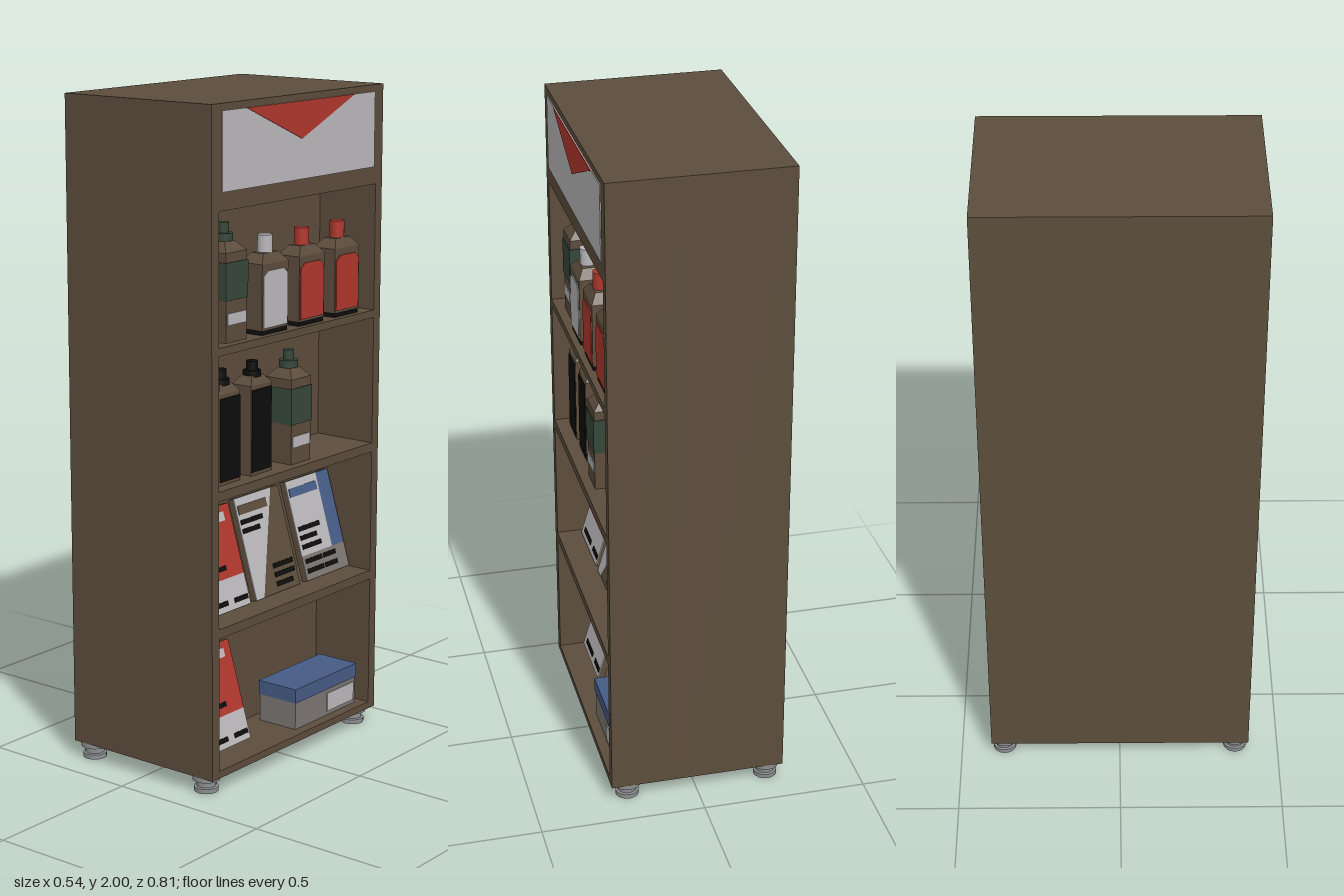
import * as THREE from 'three';

const mat = (name, color, double) => {
  const m = new THREE.MeshStandardMaterial({ color });
  m.name = name;
  if (double) m.side = THREE.DoubleSide;
  return m;
};

export function createModel() {
  const brown = mat('brown', 0x5c4d3c), red = mat('red', 0xb0372d), white = mat('white', 0xbab8ba);
  const black = mat('black', 0x0e0d0c), green = mat('green', 0x35473a), blue = mat('blue', 0x465b85);
  const grey = mat('grey', 0x7c7672), metal = mat('metal', 0x8c8e90);

  const model = new THREE.Group();
  model.name = 'displayCabinet';
  // Everything is built facing local +z, then turned so the open side faces +x
  const cabinet = new THREE.Group();
  cabinet.name = 'cabinet';
  cabinet.rotation.y = Math.PI / 2;
  model.add(cabinet);

  const add = (parent, name, geo, material, x = 0, y = 0, z = 0) => {
    const m = new THREE.Mesh(geo, material);
    m.name = name;
    m.position.set(x, y, z);
    parent.add(m);
    return m;
  };
  const group = (name, x, y, z) => {
    const g = new THREE.Group();
    g.name = name;
    g.position.set(x, y, z);
    cabinet.add(g);
    return g;
  };
  // Box given by its limits
  const box = (parent, name, material, x0, x1, y0, y1, z0, z1) =>
    add(parent, name, new THREE.BoxGeometry(x1 - x0, y1 - y0, z1 - z0), material,
      (x0 + x1) / 2, (y0 + y1) / 2, (z0 + z1) / 2);
  // Four-sided tapering block standing on y0
  const taper = (parent, name, material, w0, d0, w1, y0, y1) => {
    let g = new THREE.CylinderGeometry(w1 / w0 * Math.SQRT1_2, Math.SQRT1_2, y1 - y0, 4);
    g.rotateY(Math.PI / 4).scale(w0, 1, d0);
    g = g.toNonIndexed();
    g.computeVertexNormals();
    return add(parent, name, g, material, 0, (y0 + y1) / 2, 0);
  };
  const cyl = (parent, name, material, r, y0, y1, n = 16) =>
    add(parent, name, new THREE.CylinderGeometry(r, r, y1 - y0, n), material, 0, (y0 + y1) / 2, 0);
  // Thin plate cut from a polygon
  const plate = (parent, name, material, pts, z, depth) =>
    add(parent, name, new THREE.ExtrudeGeometry(
      new THREE.Shape(pts.map(p => new THREE.Vector2(...p))), { depth, bevelEnabled: false }), material, 0, 0, z);

  // Cabinet: solid rear and a front frame with four compartments
  const FRONT = 0.265, BACK = 0.06;
  const rect = (P, x0, x1, y0, y1) => {
    const s = new P();
    s.moveTo(x0, y0); s.lineTo(x1, y0); s.lineTo(x1, y1); s.lineTo(x0, y1); s.closePath();
    return s;
  };
  const frame = rect(THREE.Shape, -0.405, 0.405, 0.05, 2);
  for (const [y0, y1] of [[0.072, 0.475], [0.503, 0.882], [0.91, 1.3], [1.323, 1.705]])
    frame.holes.push(rect(THREE.Path, -0.373, 0.373, y0, y1));
  add(cabinet, 'shelfFrame', new THREE.ExtrudeGeometry(frame, { depth: FRONT - BACK, bevelEnabled: false }), brown, 0, 0, BACK);
  box(cabinet, 'cabinetRear', brown, -0.405, 0.405, 0.05, 2, -0.27, BACK);

  // Header sign
  box(cabinet, 'headerPanel', white, -0.36, 0.36, 1.757, 1.98, FRONT, FRONT + 0.003);
  plate(cabinet, 'headerTriangle', red, [[-0.255, 1.98], [0, 1.873], [0.255, 1.98]], FRONT + 0.003, 0.002);

  // Feet
  const footProfile = [[0, 0], [0.036, 0], [0.036, 0.014], [0.029, 0.016], [0.029, 0.033], [0.041, 0.035], [0.041, 0.05], [0, 0.05]]
    .map(p => new THREE.Vector2(...p));
  for (const x of [-0.365, 0.365]) for (const z of [-0.225, 0.21]) {
    const g = new THREE.LatheGeometry(footProfile, 16).toNonIndexed();
    g.computeVertexNormals();
    add(cabinet, 'foot', g, metal, x, 0, z);
  }

  // Square bottle with a green wrap label
  const greenBottle = (x, y) => {
    const g = group('greenBottle', x, y, 0.19);
    taper(g, 'bottleBody', brown, 0.094, 0.094, 0.094, 0, 0.255);
    taper(g, 'bottleShoulder', brown, 0.094, 0.094, 0.045, 0.255, 0.283);
    taper(g, 'wrapLabel', green, 0.1, 0.1, 0.1, 0.12, 0.228);
    box(g, 'smallLabel', white, -0.042, 0.042, 0.05, 0.084, 0.047, 0.05);
    cyl(g, 'capCollar', green, 0.028, 0.283, 0.305);
    cyl(g, 'cap', green, 0.016, 0.305, 0.335);
  };
  greenBottle(-0.26, 1.323);
  greenBottle(0.047, 0.91);

  // Slim bottle with a tall black label
  const blackBottle = x => {
    const g = group('blackBottle', x, 0.91, 0.19);
    taper(g, 'bottleBody', brown, 0.096, 0.07, 0.096, 0, 0.265);
    taper(g, 'bottleShoulder', brown, 0.096, 0.07, 0.05, 0.265, 0.29);
    box(g, 'tallLabel', black, -0.045, 0.045, 0.01, 0.253, 0.035, 0.038);
    cyl(g, 'capCollar', black, 0.027, 0.285, 0.303);
    cyl(g, 'cap', black, 0.018, 0.303, 0.33);
  };
  blackBottle(-0.275);
  blackBottle(-0.128);

  // Broad bottle with a coloured cap and label
  const broadBottle = (x, color) => {
    const g = group('broadBottle', x, 1.323, 0.21);
    taper(g, 'bottleBase', black, 0.118, 0.072, 0.118, 0, 0.014);
    taper(g, 'bottleBody', brown, 0.122, 0.076, 0.122, 0.014, 0.205);
    taper(g, 'bottleShoulder', brown, 0.122, 0.076, 0.07, 0.205, 0.232);
    plate(g, 'frontLabel', color, [[-0.056, 0.02], [0.056, 0.02], [0.056, 0.17], [0.035, 0.185], [-0.035, 0.185], [-0.056, 0.17]], 0.038, 0.003);
    cyl(g, 'cap', color, 0.022, 0.232, 0.282);
  };
  broadBottle(-0.095, white);
  broadBottle(0.08, red);
  broadBottle(0.255, red);

  // Booklets leaning back; printed marks are thin plates
  const LEAN = 0.29;
  const booklet = (name, x, y, h) => {
    const g = group(name, x, y + 0.005, 0.19);
    g.rotation.x = -LEAN;
    g.scale.y = 1 / Math.cos(LEAN);
    box(g, 'bookletBody', brown, 0, 0.217, 0, h, -0.02, 0);
    return g;
  };
  const panel = (g, name, m, x0, x1, y0, y1) => box(g, name, m, x0, x1, y0, y1, 0, 0.002);
  const lines = (g, list) => list.forEach(([x0, x1, y]) =>
    box(g, 'printedLine', black, x0, x1, y - 0.007, y + 0.007, 0.002, 0.004));
  const bar = (g, m, x0, x1) => box(g, 'titleBar', m, x0, x1, 0.248, 0.274, 0.002, 0.004);

  for (const y of [0.503, 0.082]) {
    const g = booklet('redBooklet', -0.349, y, 0.293);
    panel(g, 'upperPage', red, 0, 0.217, 0.09, 0.293);
    panel(g, 'lowerPage', white, 0, 0.217, 0, 0.09);
    bar(g, white, 0.047, 0.185);
    lines(g, [[0.026, 0.127, 0.2], [0.026, 0.105, 0.174], [0.026, 0.115, 0.147], [0.026, 0.143, 0.12],
      [0.026, 0.117, 0.024], [0.148, 0.21, 0.024]]);
  }

  const split = booklet('diagonalBooklet', -0.104, 0.503, 0.297);
  plate(split, 'diagonalPage', white, [[0, 0], [0.037, 0], [0.178, 0.297], [0, 0.297]], 0, 0.002);
  bar(split, brown, 0.008, 0.143);
  lines(split, [[0.008, 0.112, 0.226], [0.008, 0.09, 0.2], [0.108, 0.203, 0.077], [0.108, 0.203, 0.051], [0.108, 0.187, 0.024]]);

  const blueBook = booklet('blueBooklet', 0.147, 0.503, 0.297);
  panel(blueBook, 'mainPage', white, 0, 0.155, 0.073, 0.297);
  panel(blueBook, 'sideStripe', blue, 0.155, 0.217, 0.073, 0.297);
  panel(blueBook, 'lowerPage', grey, 0, 0.217, 0, 0.073);
  bar(blueBook, blue, 0.008, 0.145);
  lines(blueBook, [[0.013, 0.118, 0.152], [0.013, 0.095, 0.125], [0.013, 0.108, 0.098], [0.013, 0.095, 0.055],
    [0.102, 0.165, 0.055], [0.013, 0.095, 0.026], [0.102, 0.165, 0.026]]);

  // Storage box with lid and label
  box(cabinet, 'storageBox', grey, 0.035, 0.343, 0.072, 0.157, 0.097, 0.233);
  box(cabinet, 'storageLid', blue, 0.032, 0.346, 0.157, 0.201, 0.095, 0.236);
  box(cabinet, 'storageLabel', white, 0.196, 0.333, 0.085, 0.143, 0.233, 0.236);

  return model;
}
